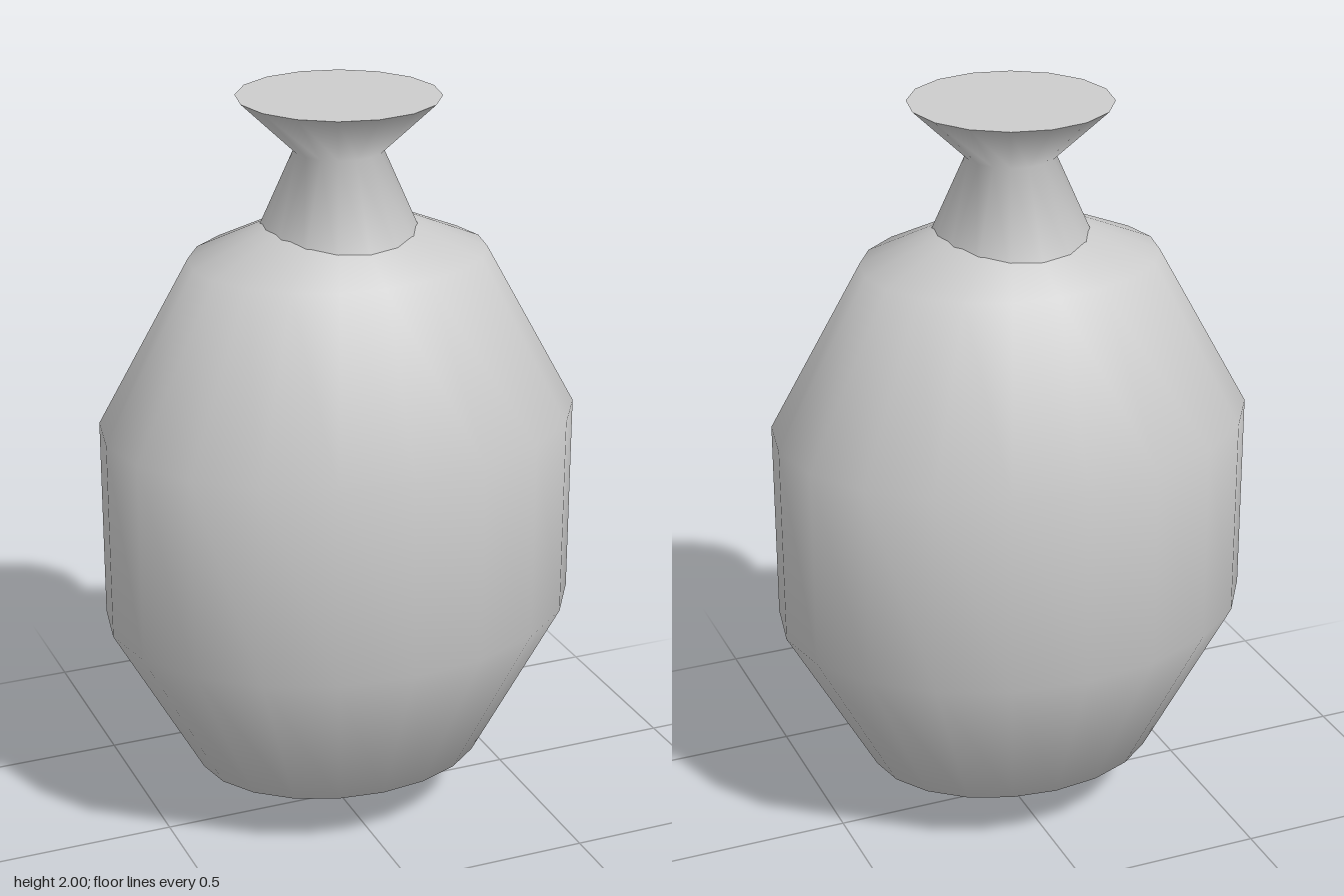
import * as THREE from 'three';

export function createModel() {
  const group = new THREE.Group();
  const clay = new THREE.MeshStandardMaterial({ color: 0xcccccc });
  clay.name = 'paleGrey';

  const add = (name, geometry, y) => {
    const mesh = new THREE.Mesh(geometry, clay);
    mesh.name = name;
    mesh.position.y = y;
    group.add(mesh);
    return mesh;
  };

  // Oval body: a low-poly sphere squashed across its depth
  const body = new THREE.SphereGeometry(1, 20, 5);
  body.scale(0.673, 0.877, 0.538);
  add('body', body, 0.877);

  // Neck narrows to a waist, then flares into the lip; its foot is sunk in the body
  const profile = [[0.23, 1.6], [0.115, 1.86], [0.262, 2]].map(([r, y]) => new THREE.Vector2(r, y));
  add('neck', new THREE.LatheGeometry(profile, 16), 0);

  // Flat disc closing the lip
  const cap = new THREE.CircleGeometry(0.262, 16);
  cap.rotateX(-Math.PI / 2);
  add('topCap', cap, 2);

  return group;
}
